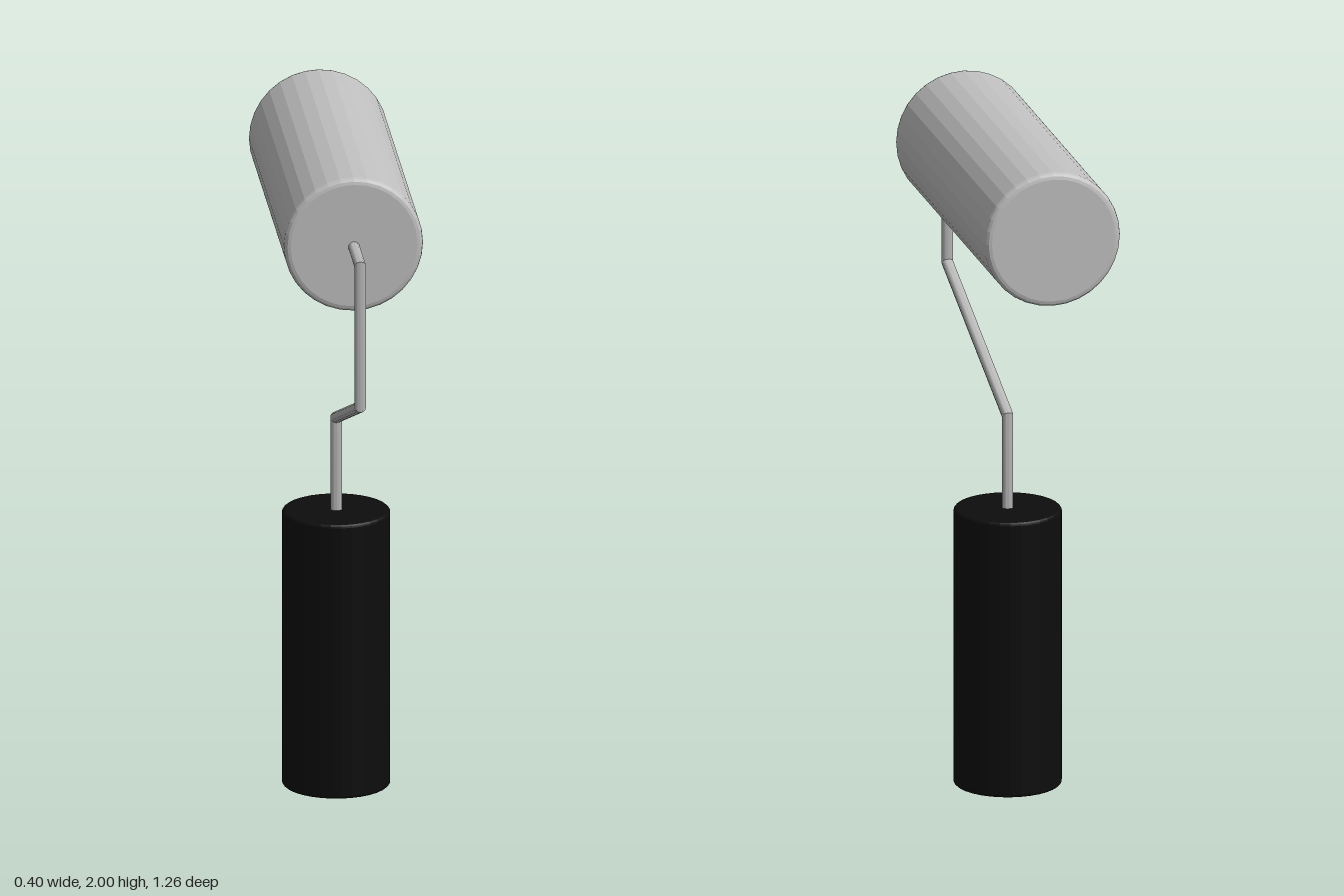
import * as THREE from 'three';
import { toCreasedNormals } from 'three/addons/utils/BufferGeometryUtils.js';

const mat = (name, color) => {
  const m = new THREE.MeshStandardMaterial({ color });
  m.name = name;
  return m;
};

// Solid cylinder with rounded rims, standing on y = 0
function roundedCylinder(radius, height, bevel, sides) {
  const profile = [new THREE.Vector2(0, 0)];
  for (let i = 0; i <= 3; i++) {
    const a = (i / 3) * Math.PI / 2;
    profile.push(new THREE.Vector2(radius - bevel + bevel * Math.sin(a), bevel - bevel * Math.cos(a)));
  }
  for (let i = 3; i >= 0; i--) {
    const p = profile[i + 1];
    profile.push(new THREE.Vector2(p.x, height - p.y));
  }
  profile.push(new THREE.Vector2(0, height));
  return toCreasedNormals(new THREE.LatheGeometry(profile, sides), 0.1);
}

// Round rod with mitred corners, following points in the x = 0 plane
function mitredRod(points, radius, sides) {
  const xAxis = new THREE.Vector3(1, 0, 0);
  const normals = points.slice(1).map((p, i) => p.clone().sub(points[i]).normalize().cross(xAxis));
  const pos = [], index = [];
  points.forEach((p, i) => {
    const n0 = normals[Math.max(i - 1, 0)];
    const n1 = normals[Math.min(i, normals.length - 1)];
    const mitre = n0.clone().add(n1).divideScalar(1 + n0.dot(n1));
    for (let j = 0; j < sides; j++) {
      const a = (j / sides) * Math.PI * 2;
      const v = p.clone().addScaledVector(xAxis, radius * Math.cos(a)).addScaledVector(mitre, radius * Math.sin(a));
      pos.push(v.x, v.y, v.z);
      if (i < points.length - 1) {
        const k = (j + 1) % sides, r = i * sides, s = r + sides;
        index.push(r + j, r + k, s + j, r + k, s + k, s + j);
      }
    }
  });
  const geo = new THREE.BufferGeometry();
  geo.setAttribute('position', new THREE.Float32BufferAttribute(pos, 3));
  geo.setIndex(index);
  return toCreasedNormals(geo, 0.6);
}

export function createModel() {
  const group = new THREE.Group();
  const add = (name, geo, material) => {
    const mesh = new THREE.Mesh(geo, material);
    mesh.name = name;
    group.add(mesh);
    return mesh;
  };

  // Grip
  add('handle', roundedCylinder(0.157, 0.832, 0.01, 32), mat('black rubber', 0x0d0d0d))
    .position.z = -0.093;

  // Bent wire frame from grip to roller
  const path = [[0.78, -0.092], [1.11, -0.092], [1.365, 0.613], [1.793, 0.613], [1.793, 0.4]]
    .map(([y, z]) => new THREE.Vector3(0, y, z));
  add('frame', mitredRod(path, 0.017, 12), mat('steel grey', 0xb8b8b8));

  // Roller sleeve, lying along z
  const roller = add('roller', roundedCylinder(0.202, 1.065, 0.018, 32), mat('light grey', 0xc0c0c0));
  roller.rotation.x = Math.PI / 2;
  roller.position.set(0, 1.798, -0.63);

  return group;
}
